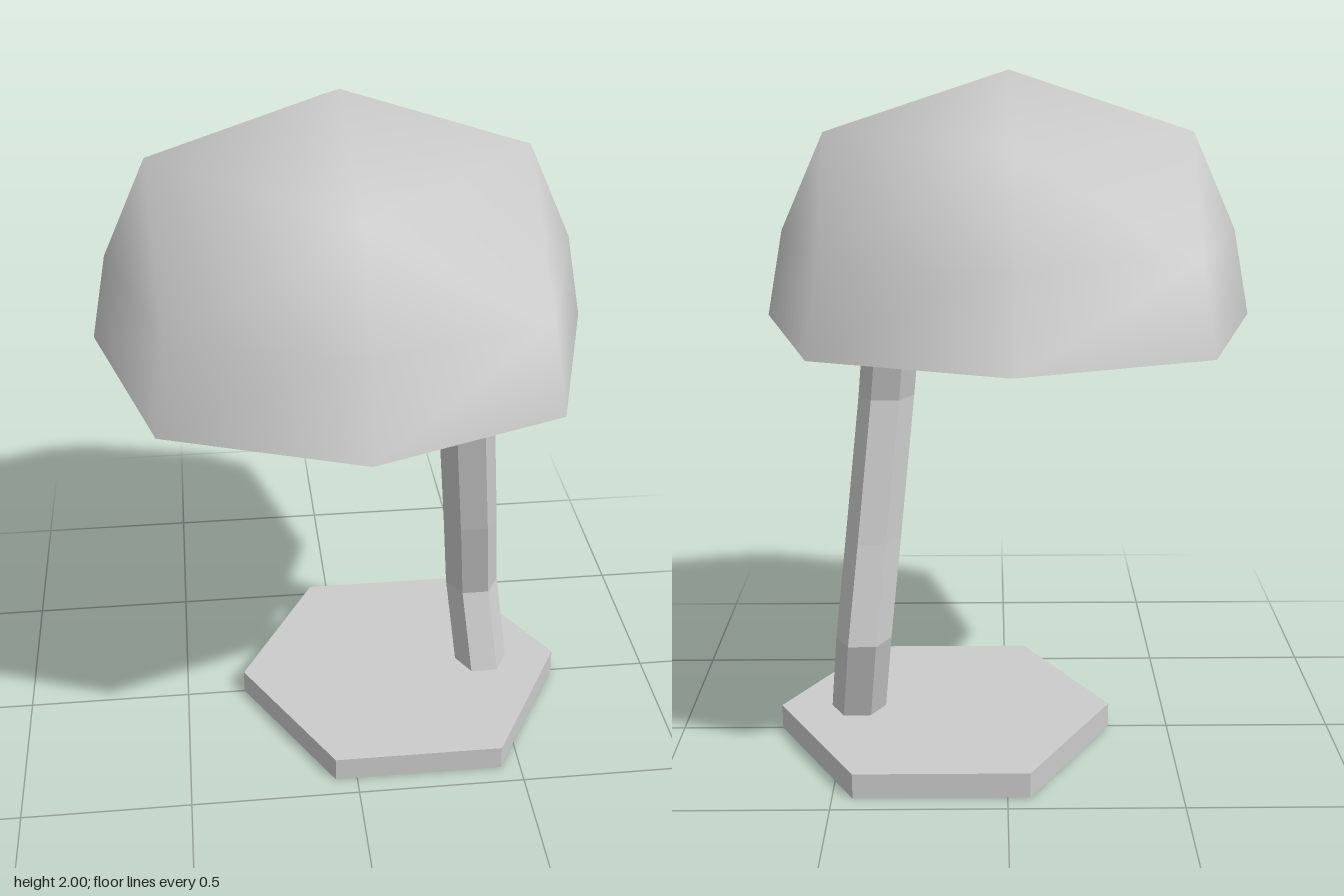
import * as THREE from 'three';

const smooth = () => new THREE.MeshStandardMaterial({ color: 0xcccccc });
const flat = () => new THREE.MeshStandardMaterial({ color: 0xcccccc, flatShading: true });

function makeMesh(name, geometry, material) {
  const mesh = new THREE.Mesh(geometry, material);
  mesh.name = name;
  return mesh;
}

function indexed(points, index) {
  const g = new THREE.BufferGeometry();
  g.setAttribute('position', new THREE.Float32BufferAttribute(points.flat(), 3));
  g.setIndex(index);
  g.computeVertexNormals();
  return g;
}

// Quads between two neighbouring loops of n points, starting at index 'upper' and 'lower'
function strip(index, upper, lower, n) {
  for (let k = 0; k < n; k++) {
    const j = (k + 1) % n;
    index.push(upper + k, lower + j, lower + k, upper + k, upper + j, lower + j);
  }
}

// Surface through a list of loops, ordered from the top down the outside
function loft(loops) {
  const n = loops[0].length, index = [];
  for (let i = 0; i + 1 < loops.length; i++) strip(index, i * n, (i + 1) * n, n);
  return indexed(loops.flat(), index);
}

// Eight-point oval: four axis points and four corners
const CX = -0.007;
function octagon(y, rx, rz, cornerX, cornerZ) {
  return Array.from({ length: 8 }, (_, k) => {
    const c = Math.round(Math.cos(k * Math.PI / 4) * 1.4);
    const s = Math.round(Math.sin(k * Math.PI / 4) * 1.4);
    return k % 2 ? [CX + c * cornerX, y, s * cornerZ] : [CX + c * rx, y, s * rz];
  });
}

// Domed shade: apex, four upper points, then two eight-point loops
function shadeGeometry() {
  const points = [
    [CX, 2, 0],
    [CX + 0.52, 1.83, 0], [CX, 1.83, 0.48], [CX - 0.52, 1.83, 0], [CX, 1.83, -0.48],
    ...octagon(1.555, 0.645, 0.66, 0.485, 0.54),
    ...octagon(1.31, 0.692, 0.767, 0.52, 0.578),
  ];
  const index = [];
  for (let q = 0; q < 4; q++) {
    const m = 1 + q, n = 1 + (q + 1) % 4;
    const e = 5 + 2 * q, c = e + 1, f = 5 + (2 * q + 2) % 8;
    index.push(0, n, m, m, n, c, m, c, e, n, f, c);
  }
  strip(index, 5, 13, 8);
  return indexed(points, index);
}

// Flat rim, recess wall and ceiling under the shade
function undersideGeometry() {
  const k = 0.765;
  const inner = y => octagon(y, 0.692 * k, 0.767 * k, 0.52 * k, 0.578 * k);
  return loft([
    octagon(1.31, 0.692, 0.767, 0.52, 0.578),
    inner(1.31), inner(1.475), octagon(1.475, 0, 0, 0, 0),
  ]);
}

// Leaning six-sided post with a zigzag in depth
function postGeometry() {
  const path = [[1.48, 0.006], [1.05, 0.081], [0.63, 0], [0.335, -0.075], [0.075, 0]]; // y, z
  return loft(path.map(([y, z]) => Array.from({ length: 6 }, (_, k) => {
    const a = k * Math.PI / 3;
    return [0.463 - 0.102 * y + 0.083 * Math.cos(a), y, z + 0.083 * Math.sin(a)];
  })));
}

export function createModel() {
  const lamp = new THREE.Group();
  lamp.name = 'lamp';

  const shade = new THREE.Group();
  shade.name = 'shade';
  shade.add(makeMesh('shadeDome', shadeGeometry(), smooth()));
  shade.add(makeMesh('shadeUnderside', undersideGeometry(), flat()));
  lamp.add(shade);

  lamp.add(makeMesh('post', postGeometry(), flat()));

  // Hexagonal foot plate, offset under the post
  const base = makeMesh('base', new THREE.CylinderGeometry(0.506, 0.506, 0.076, 6).rotateY(Math.PI / 2), flat());
  base.position.set(0.188, 0.038, 0);
  lamp.add(base);

  return lamp;
}
